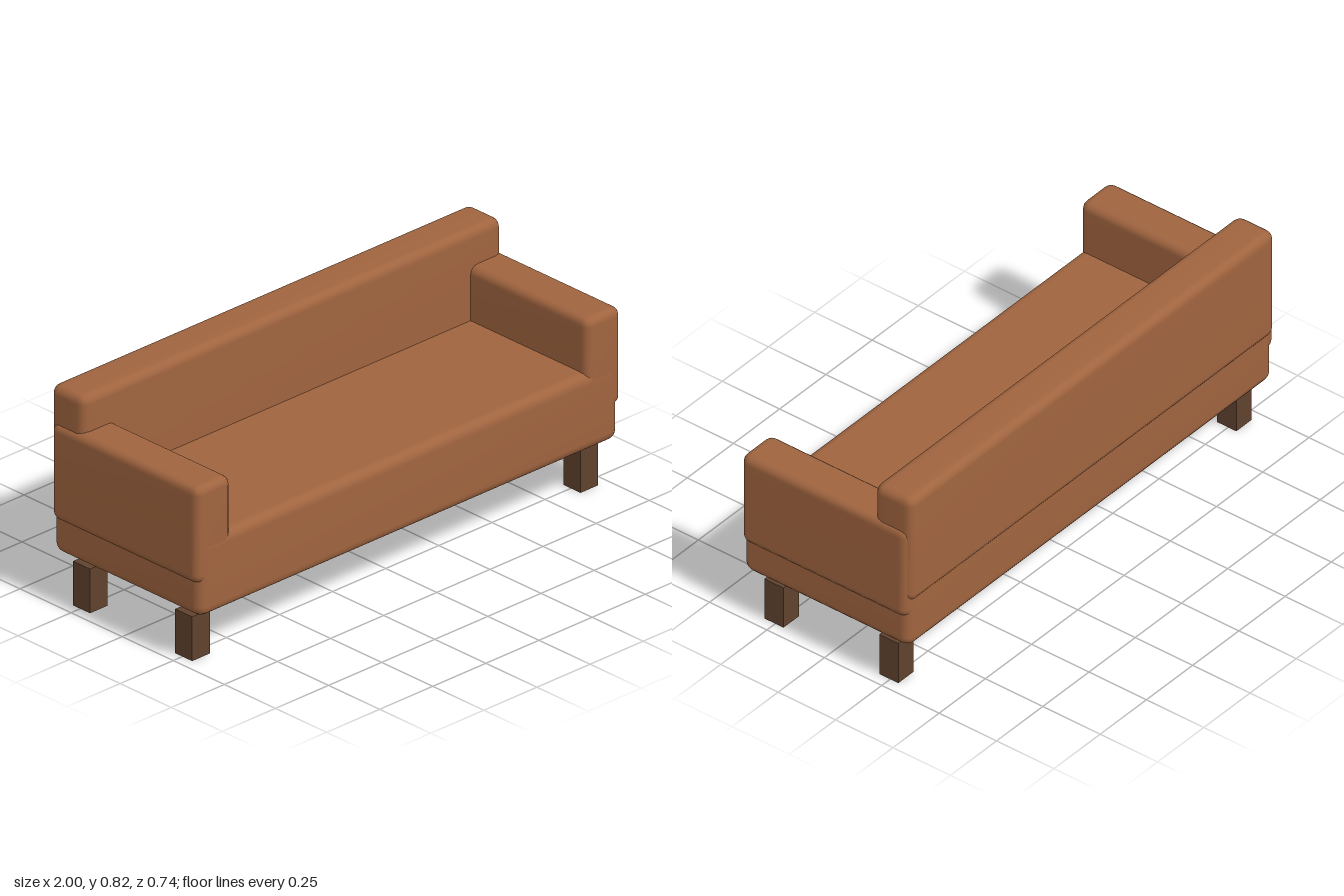
import * as THREE from 'three';
import { RoundedBoxGeometry } from 'three/addons/geometries/RoundedBoxGeometry.js';
import { mergeVertices } from 'three/addons/utils/BufferGeometryUtils.js';

const upholstery = new THREE.MeshStandardMaterial({ color: 0xa0643f });
const wood = new THREE.MeshStandardMaterial({ color: 0x60432e });

// Softly bevelled block given by its min and max corners, shaded smoothly all over
function cushion(name, [x0, y0, z0], [x1, y1, z1], radius) {
  let geometry = new RoundedBoxGeometry(x1 - x0, y1 - y0, z1 - z0, 2, radius);
  geometry.deleteAttribute('uv');
  geometry.deleteAttribute('normal');
  geometry = mergeVertices(geometry, 1e-4);
  geometry.computeVertexNormals();
  const mesh = new THREE.Mesh(geometry, upholstery);
  mesh.name = name;
  mesh.position.set((x0 + x1) / 2, (y0 + y1) / 2, (z0 + z1) / 2);
  return mesh;
}

export function createModel() {
  const sofa = new THREE.Group();
  sofa.name = 'sofa';

  // Seat and backrest
  sofa.add(cushion('seat', [-0.988, 0.19, -0.358], [0.988, 0.485, 0.37], 0.04));
  sofa.add(cushion('backrest', [-0.988, 0.385, -0.368], [0.988, 0.825, -0.203], 0.035));

  // Armrests, one on each side
  sofa.add(cushion('leftArm', [0.835, 0.32, -0.354], [1, 0.69, 0.368], 0.033));
  sofa.add(cushion('rightArm', [-1, 0.32, -0.354], [-0.835, 0.69, 0.368], 0.033));

  // Four square legs, standing just clear of the seat
  const legGeometry = new THREE.BoxGeometry(0.083, 0.168, 0.083);
  for (const [side, x] of [['Left', 0.913], ['Right', -0.915]]) {
    for (const [end, z] of [['front', 0.256], ['back', -0.244]]) {
      const leg = new THREE.Mesh(legGeometry, wood);
      leg.name = `${end}${side}Leg`;
      leg.position.set(x, 0.084, z);
      sofa.add(leg);
    }
  }
  return sofa;
}
